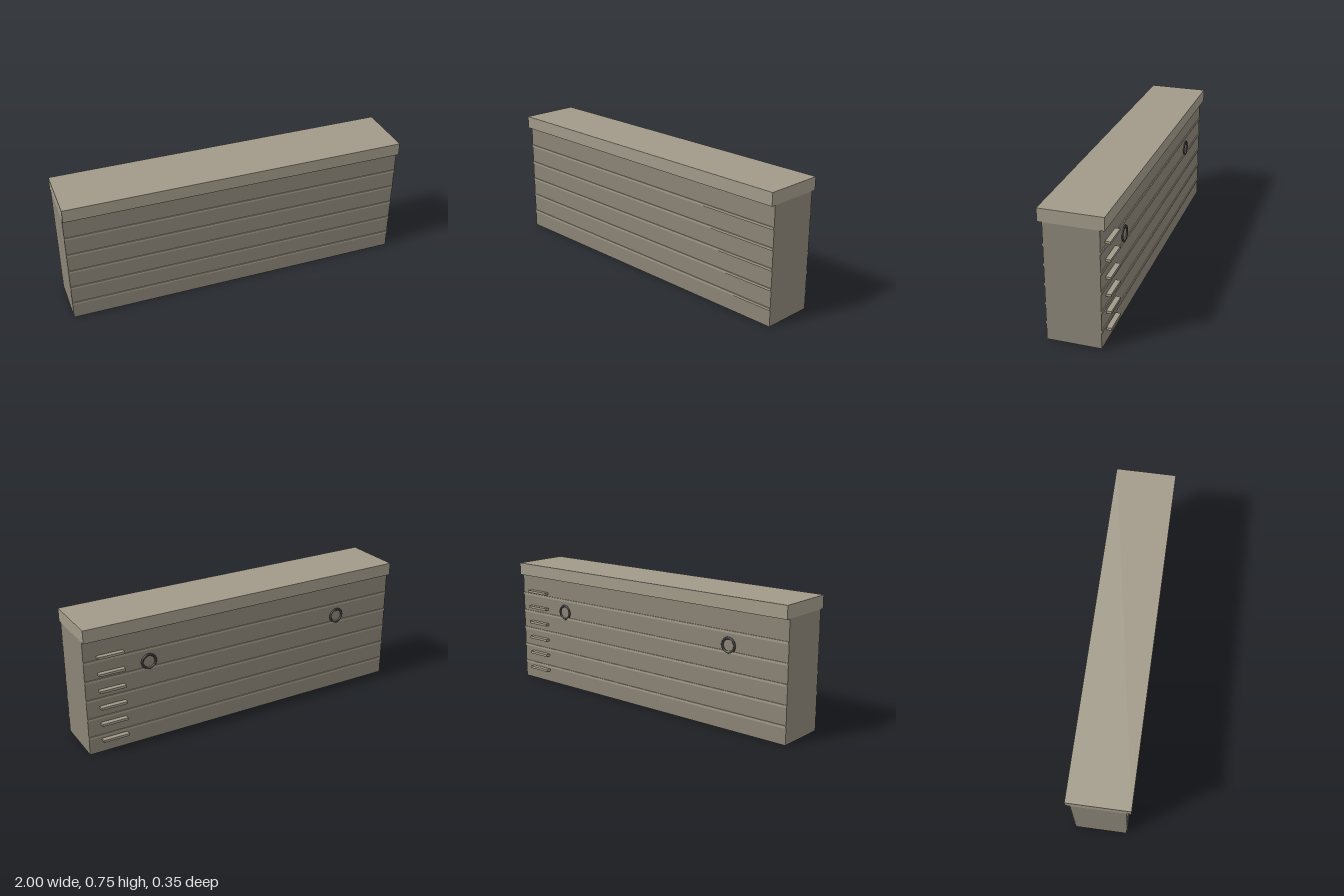
import * as THREE from 'three';

const bodyMat = new THREE.MeshStandardMaterial({ color: 0x8b8476 });
const trimMat = new THREE.MeshStandardMaterial({ color: 0xa19a89 });
const ringMat = new THREE.MeshStandardMaterial({ color: 0x333333 });

const LENGTH = 2;
const MID_Z = 0.0013;          // wall sits slightly forward of centre
const HALF = 0.15;             // half thickness of the wall
const BACK_Z = MID_Z - HALF;

export function createModel() {
  const group = new THREE.Group();

  const add = (name, geometry, material, x, y, z) => {
    const mesh = new THREE.Mesh(geometry, material);
    mesh.name = name;
    mesh.position.set(x, y, z);
    group.add(mesh);
  };

  // Wall and overhanging cap
  add('wall', new THREE.BoxGeometry(LENGTH, 0.676, HALF * 2), bodyMat, 0, 0.338, MID_Z);
  add('cap', new THREE.BoxGeometry(LENGTH, 0.074, 0.351), trimMat, 0, 0.713, MID_Z);

  // Thin horizontal ribs along the front and back
  const ribGeometry = new THREE.BoxGeometry(LENGTH, 0.014, 0.005);
  for (let i = 0; i < 5; i++) {
    for (const side of [1, -1]) {
      add(side > 0 ? 'frontRib' : 'backRib', ribGeometry, trimMat,
        0, 0.101 + i * 0.1125, MID_Z + side * (HALF + 0.0025));
    }
  }

  // Ladder rungs on the back
  const rungGeometry = new THREE.BoxGeometry(0.15, 0.014, 0.028);
  for (let i = 0; i < 6; i++) {
    add('rung', rungGeometry, trimMat, 0.85, 0.075 + i * 0.1, BACK_Z - 0.014);
  }

  // Pair of tie rings on the back
  const ringGeometry = new THREE.TorusGeometry(0.04, 0.007, 10, 32);
  for (const side of [1, -1]) {
    add('tieRing', ringGeometry, ringMat, side * 0.625, 0.476, BACK_Z);
  }

  return group;
}
